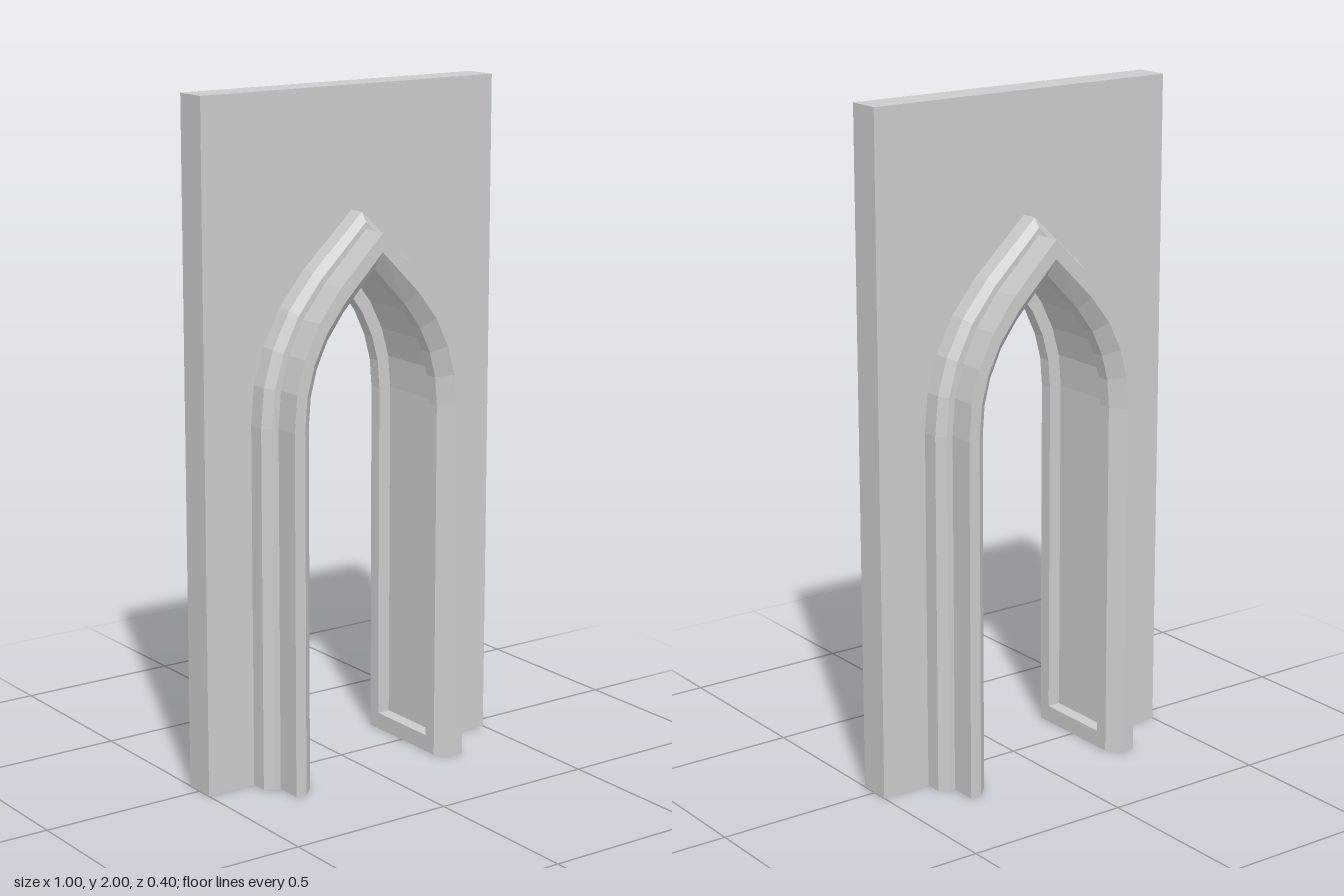
import * as THREE from 'three';

const SPRING = 1.07; // height where the arch starts to curve
// Right half of the pointed arch as fractions of half width and rise
const CURVE = [[1, 0], [0.97, 0.2], [0.88, 0.38], [0.72, 0.56], [0.477, 0.735], [0, 1]];

// Arch line from the right foot over the apex to the left foot
function archLine(halfWidth, apex) {
  const right = [[halfWidth, 0]];
  for (const [fx, fy] of CURVE) right.push([fx * halfWidth, SPRING + fy * (apex - SPRING)]);
  const left = right.slice(0, -1).reverse().map(([x, y]) => [-x, y]);
  return [...right, ...left];
}

// Moulding section, back half: half width, apex height, z
const BACK_HALF = [
  [0.345, 1.648, -0.1], [0.32, 1.622, -0.12], [0.3, 1.602, -0.12], [0.3, 1.602, -0.2],
  [0.265, 1.547, -0.2], [0.225, 1.494, -0.16], [0.225, 1.494, -0.12], [0.265, 1.547, -0.12],
];
const SECTION = [...BACK_HALF, ...BACK_HALF.map(([w, h, z]) => [w, h, -z]).reverse()];

// Sweep the section along the arch
function sweepFrame() {
  const lines = SECTION.map(([w, h]) => archLine(w, h));
  const at = (i, j) => [lines[i][j][0], lines[i][j][1], SECTION[i][2]];
  const pos = [];
  for (let j = 0; j < lines[0].length - 1; j++) {
    for (let i = 0; i < SECTION.length; i++) {
      const n = (i + 1) % SECTION.length;
      const a = at(i, j), b = at(n, j), c = at(n, j + 1), d = at(i, j + 1);
      pos.push(...a, ...b, ...c, ...a, ...c, ...d);
    }
  }
  const geo = new THREE.BufferGeometry();
  geo.setAttribute('position', new THREE.Float32BufferAttribute(pos, 3));
  geo.computeVertexNormals();
  return geo;
}

export function createModel() {
  const model = new THREE.Group();
  const stone = new THREE.MeshStandardMaterial({ color: 0xcccccc, flatShading: true });
  const thin = new THREE.MeshStandardMaterial({ color: 0xcccccc, flatShading: true, side: THREE.DoubleSide });
  const add = (parent, name, geo, mat = stone) => {
    const mesh = new THREE.Mesh(geo, mat);
    mesh.name = name;
    parent.add(mesh);
    return mesh;
  };

  // Hollow wall slab, open underneath
  const wall = new THREE.Group();
  wall.name = 'wall';
  model.add(wall);
  const outline = [[0.5, 0], [0.5, 2], [-0.5, 2], [-0.5, 0], ...archLine(0.345, 1.648).reverse()];
  const face = new THREE.ShapeGeometry(new THREE.Shape(outline.map(([x, y]) => new THREE.Vector2(x, y))));
  add(wall, 'wallFront', face, thin).position.z = 0.05;
  add(wall, 'wallBack', face.clone().rotateY(Math.PI), thin).position.z = -0.05;
  for (const s of [1, -1]) {
    add(wall, s > 0 ? 'wallSideLeft' : 'wallSideRight',
      new THREE.PlaneGeometry(0.1, 2).rotateY(s * Math.PI / 2), thin).position.set(s * 0.5, 1, 0);
  }
  add(wall, 'wallTop', new THREE.PlaneGeometry(1, 0.1).rotateX(-Math.PI / 2), thin).position.y = 2;

  // Stepped arch frame with a sunk panel along its inner face
  const frame = new THREE.Group();
  frame.name = 'archFrame';
  model.add(frame);
  add(frame, 'archMoulding', sweepFrame());
  for (const s of [1, -1]) {
    const side = s > 0 ? 'Left' : 'Right';
    const foot = new THREE.Shape(SECTION.map(([w, , z]) => new THREE.Vector2(s * w, z)));
    add(frame, 'footCap' + side, new THREE.ShapeGeometry(foot).rotateX(Math.PI / 2));
    // Rim closing the sunk panel at the floor
    add(frame, 'panelSill' + side, new THREE.BoxGeometry(0.04, 0.05, 0.24)).position.set(s * 0.245, 0.025, 0);
  }
  return model;
}
